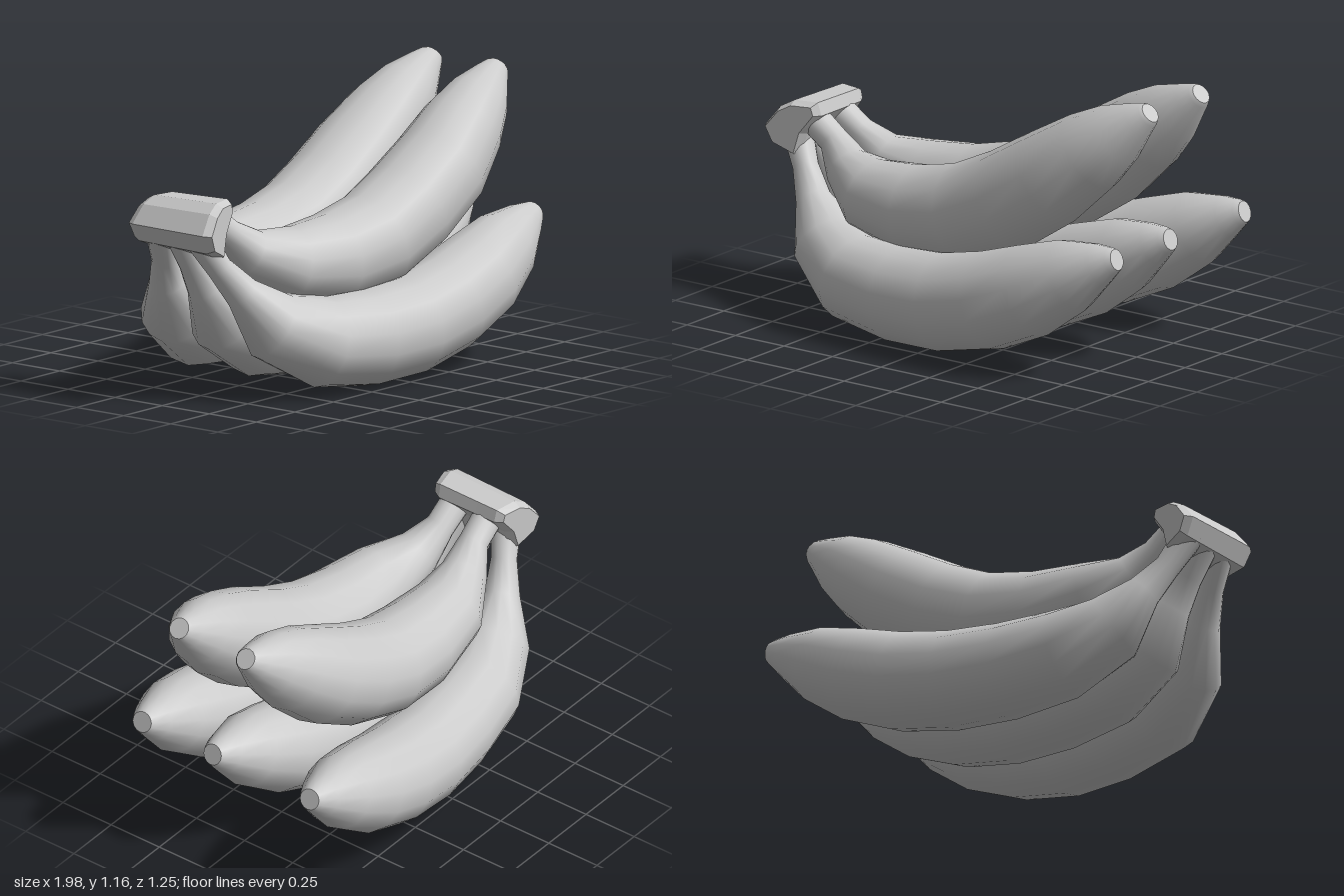
import * as THREE from 'three';

const SIDES = 14;
const material = new THREE.MeshStandardMaterial({ color: 0xcccccc });

// Side profiles from stem to tip: [x, y, radius]
const LOWER = [
  [-0.91, 0.71, 0.065], [-0.83, 0.57, 0.055], [-0.75, 0.46, 0.075], [-0.63, 0.31, 0.15],
  [-0.42, 0.22, 0.19], [-0.17, 0.20, 0.202], [0.08, 0.213, 0.207], [0.32, 0.265, 0.207],
  [0.53, 0.345, 0.195], [0.72, 0.44, 0.155], [0.86, 0.51, 0.09], [0.92, 0.535, 0.058], [0.94, 0.542, 0.045],
];
const UPPER = [
  [-0.85, 0.78, 0.065], [-0.72, 0.69, 0.063], [-0.62, 0.60, 0.1], [-0.45, 0.53, 0.16],
  [-0.2, 0.51, 0.195], [0.05, 0.55, 0.208], [0.28, 0.65, 0.212], [0.5, 0.785, 0.205],
  [0.68, 0.92, 0.175], [0.8, 1.012, 0.135], [0.9, 1.085, 0.08], [0.945, 1.116, 0.055], [0.957, 1.126, 0.044],
];

// Sideways course of each fruit at its stem, neck, middle and tip, with a roll angle
const FRUITS = [
  { name: 'lowerFrontBanana', profile: LOWER, z: [0.12, 0.24, 0.365, 0.415, 0.42, 0.385] },
  { name: 'lowerMiddleBanana', profile: LOWER, z: [0.02, 0.02, 0.02, 0.02, 0.02, 0.02] },
  { name: 'lowerBackBanana', profile: LOWER, z: [-0.08, -0.2, -0.295, -0.375, -0.435, -0.485] },
  { name: 'upperFrontBanana', profile: UPPER, z: [0.11, 0.12, 0.215, 0.245, 0.245, 0.18] },
  { name: 'upperBackBanana', profile: UPPER, z: [-0.05, -0.055, -0.125, -0.155, -0.175, -0.165] },
];
const Z_STATIONS = [-0.9, -0.72, -0.45, 0, 0.5, 0.95];

// Linear lookup of the sideways offset along x
function offsetAt(x, values) {
  let k = 0;
  while (k < Z_STATIONS.length - 2 && x > Z_STATIONS[k + 1]) k++;
  const t = (x - Z_STATIONS[k]) / (Z_STATIONS[k + 1] - Z_STATIONS[k]);
  return THREE.MathUtils.lerp(values[k], values[k + 1], THREE.MathUtils.clamp(t, 0, 1));
}

// Loft round rings along the bent centre line and close the tip with a flat disc
function bananaGeometry({ profile, z }) {
  const centres = profile.map(([x, y]) => new THREE.Vector3(x, y, offsetAt(x, z)));
  const last = centres.length - 1;
  const positions = [];
  const index = [];
  const zAxis = new THREE.Vector3(0, 0, 1);

  const addRing = (i) => {
    const tangent = centres[Math.min(i + 1, last)].clone().sub(centres[Math.max(i - 1, 0)]).normalize();
    const up = zAxis.clone().cross(tangent).normalize();
    const side = tangent.clone().cross(up);
    for (let j = 0; j < SIDES; j++) {
      const a = (j / SIDES) * Math.PI * 2;
      const p = centres[i].clone()
        .addScaledVector(up, Math.cos(a) * profile[i][2])
        .addScaledVector(side, Math.sin(a) * profile[i][2]);
      positions.push(p.x, p.y, p.z);
    }
  };

  for (let i = 0; i <= last; i++) addRing(i);
  for (let i = 0; i < last; i++) {
    for (let j = 0; j < SIDES; j++) {
      const a = i * SIDES + j;
      const b = i * SIDES + (j + 1) % SIDES;
      index.push(a, b, a + SIDES, b, b + SIDES, a + SIDES);
    }
  }

  // Separate ring keeps the edge of the tip sharp
  const cap = positions.length / 3;
  addRing(last);
  positions.push(...centres[last].toArray());
  for (let j = 0; j < SIDES; j++) index.push(cap + SIDES, cap + j, cap + (j + 1) % SIDES);

  const geometry = new THREE.BufferGeometry();
  geometry.setAttribute('position', new THREE.Float32BufferAttribute(positions, 3));
  geometry.setIndex(index);
  geometry.computeVertexNormals();
  return geometry;
}

// Angular woody crown joining the stems, narrowing and slanting toward the back
function crownGeometry() {
  const outline = [
    [-0.86, 0.63], [-0.835, 0.72], [-0.775, 0.8], [-0.785, 0.835],
    [-0.87, 0.835], [-0.925, 0.805], [-0.98, 0.735], [-0.95, 0.67],
  ].map(([x, y]) => new THREE.Vector2(x, y));
  const geometry = new THREE.ExtrudeGeometry(new THREE.Shape(outline), {
    depth: 0.33, steps: 3, bevelEnabled: true, bevelThickness: 0.035, bevelSize: 0.018, bevelSegments: 1,
  });
  geometry.translate(0, 0, -0.145);
  const p = geometry.attributes.position;
  for (let i = 0; i < p.count; i++) {
    const t = p.getZ(i) / 0.2;
    const scale = 0.95 + 0.04 * t;
    p.setX(i, -0.88 + (p.getX(i) + 0.88) * scale);
    p.setY(i, 0.74 + (p.getY(i) - 0.74) * scale);
    // Ends are cut obliquely
    p.setZ(i, p.getZ(i) - (p.getX(i) + 0.88) * 0.25 * t);
  }
  geometry.computeVertexNormals();
  return geometry;
}

export function createModel() {
  const group = new THREE.Group();
  group.name = 'bananaBunch';
  for (const fruit of FRUITS) {
    const mesh = new THREE.Mesh(bananaGeometry(fruit), material);
    mesh.name = fruit.name;
    group.add(mesh);
  }
  const crown = new THREE.Mesh(crownGeometry(), material);
  crown.name = 'crown';
  group.add(crown);
  return group;
}
